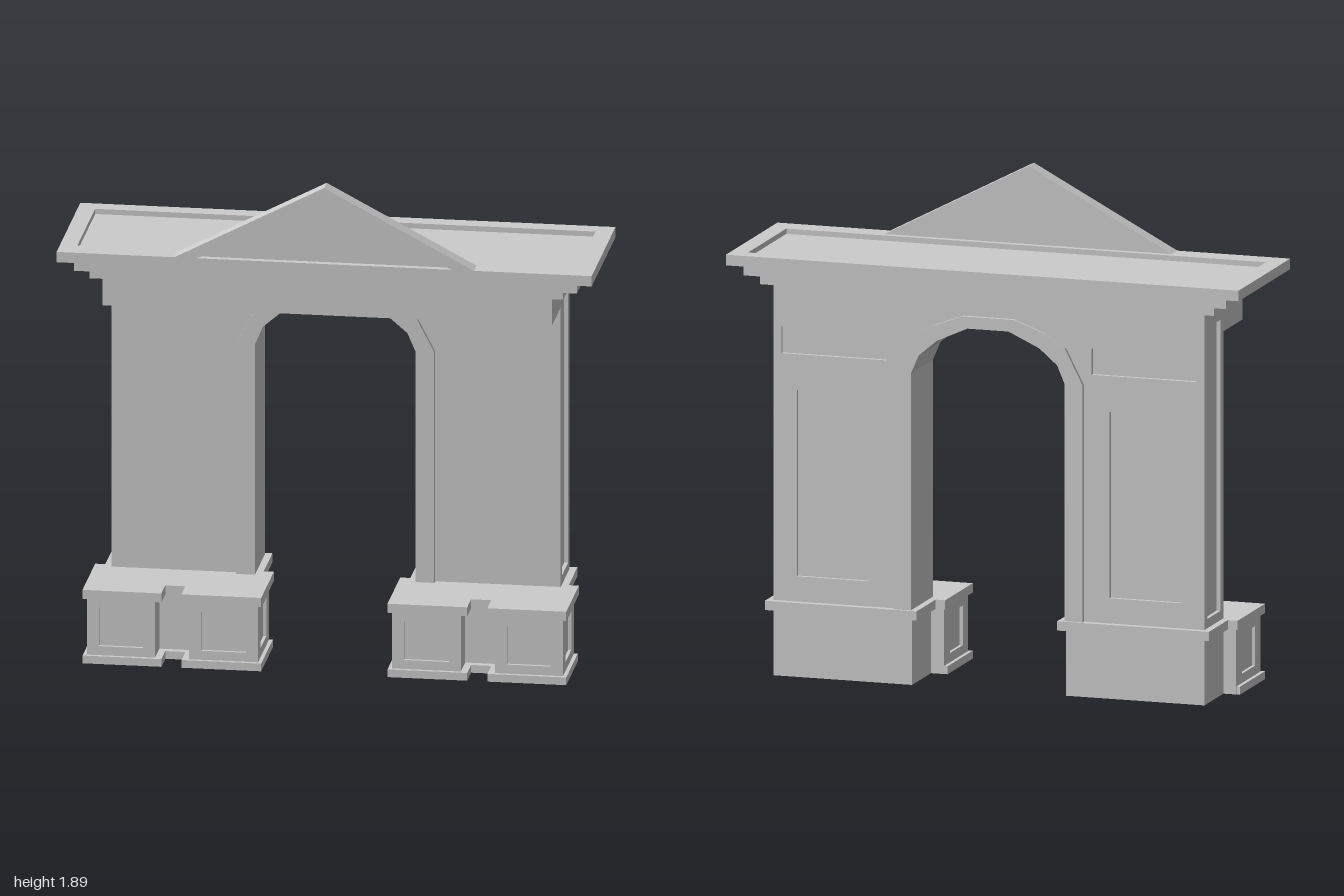
import * as THREE from 'three';

const material = new THREE.MeshStandardMaterial({ color: 0xcccccc, side: THREE.DoubleSide });
const toShape = (pts) => new THREE.Shape(pts.map(([x, y]) => new THREE.Vector2(x, y)));
const rect = (x0, y0, x1, y1) => [[x0, y0], [x1, y0], [x1, y1], [x0, y1]];
const mirrored = (half) => [...half, ...half.map(([x, y]) => [-x, y]).reverse()];

function extrude(pts, holes, depth) {
  const shape = toShape(pts);
  shape.holes = holes.map(toShape);
  return new THREE.ExtrudeGeometry(shape, { depth, bevelEnabled: false });
}

export function createModel() {
  const model = new THREE.Group();
  const add = (name, geometry) => {
    const mesh = new THREE.Mesh(geometry, material);
    mesh.name = name;
    model.add(mesh);
  };
  // Box from its min and max limits
  const box = (name, x0, x1, y0, y1, z0, z1) => add(name,
    new THREE.BoxGeometry(x1 - x0, y1 - y0, z1 - z0)
      .translate((x0 + x1) / 2, (y0 + y1) / 2, (z0 + z1) / 2));
  // Outline in x,y pushed along z
  const upright = (name, pts, holes, z0, z1) =>
    add(name, extrude(pts, holes, z1 - z0).translate(0, 0, z0));
  // Outline in x,z pushed along y
  const flat = (name, pts, holes, y0, y1) =>
    add(name, extrude(pts, holes, y1 - y0).rotateX(Math.PI / 2).translate(0, y1, 0));
  // Outline in z,y pushed along x
  const sideways = (name, pts, holes, x0, x1) =>
    add(name, extrude(pts.map(([z, y]) => [-z, y]), holes.map((h) => h.map(([z, y]) => [-z, y])), x1 - x0)
      .rotateY(Math.PI / 2).translate(x0, 0, 0));

  // Arch curves, right half from foot to crown
  const foot = 0.285;
  const inner = [[0.3, foot], [0.3, 1.18], [0.27, 1.25], [0.2, 1.31], [0.08, 1.365]];
  const outer = [[0.37, foot], [0.37, 1.18], [0.3, 1.315], [0.22, 1.365], [0.1, 1.41]];
  const opening = mirrored(outer);
  const wall = (w) => [[-w, foot], [-w, 1.48], [w, 1.48], [w, foot], ...opening];

  // Wall core, with a panelled skin on the back and the ends
  upright('wall', wall(0.825), [], -0.205, 0);
  const backPanels = [1, -1].flatMap((s) => [
    rect(s * 0.47, 0.38, s * 0.75, 1.085),
    rect(s * 0.4, 1.22, s * 0.81, 1.32),
  ]);
  upright('backPanelFrame', wall(0.84), backPanels, -0.22, -0.205);
  for (const x of [-0.84, 0.825]) {
    sideways('sidePanelFrame', rect(-0.205, foot, 0, 1.48), [rect(-0.185, 0.32, -0.035, 1.42)], x, x + 0.015);
  }
  upright('archMoulding', [...opening, ...mirrored(inner).reverse()], [], -0.235, 0.02);

  // Overhanging lintel and stepped cornice with a sunk top
  box('lintel', -0.84, 0.84, 1.37, 1.48, 0, 0.22);
  box('lowerCornice', -0.885, 0.885, 1.48, 1.515, -0.243, 0.243);
  box('middleCornice', -0.94, 0.94, 1.515, 1.575, -0.27, 0.27);
  flat('upperCornice', rect(-1, -0.3, 1, 0.3), [rect(-0.935, -0.235, 0.935, 0.21)], 1.555, 1.595);

  // Pediment: back slab and raking frame
  upright('pedimentSlab', [[-0.56, 1.595], [0.56, 1.595], [0, 1.89]], [], 0.235, 0.275);
  upright('pedimentFrame', [[-0.56, 1.595], [0, 1.89], [0.56, 1.595],
    [0.475, 1.595], [0, 1.845], [-0.475, 1.595]], [], 0.275, 0.3);

  // Plan of one base, inset by d: two front pedestals joined to a back block
  const front = (d) => [[0.262 + d, d], [0.262 + d, 0.268 - d], [0.508 - d, 0.268 - d], [0.508 - d, 0.17 - d],
    [0.635 + d, 0.17 - d], [0.635 + d, 0.268 - d], [0.878 - d, 0.268 - d], [0.878 - d, d]];
  const plan = (d) => [...front(d), [0.84 - d, d], [0.84 - d, -0.22 + d], [0.3 + d, -0.22 + d], [0.3 + d, d]];

  for (const s of [1, -1]) {
    const side = (pts) => pts.map(([x, z]) => [s * x, z]);
    flat('baseBody', side(plan(0)), [side(plan(0.01))], 0, 0.25);
    flat('baseCap', side(plan(-0.026)), [], 0.25, 0.285);
    const trim = front(-0.026).map(([x, z]) => [x, Math.max(z, 0)]);
    flat('baseTrim', side([...trim, ...front(0.004).reverse()]), [], 0, 0.03);

    // Panel frames on the pedestal fronts and outer sides
    for (const [a, b] of [[0.25, 0.508], [0.635, 0.89]]) {
      upright('pedestalFrontFrame', side(rect(a, 0, b, 0.25)),
        [side(rect(a + 0.045, 0.065, b - 0.045, 0.215))], 0.268, 0.28);
    }
    for (const x of [0.25, 0.878]) {
      sideways('pedestalSideFrame', rect(0, 0, 0.268, 0.25), [rect(0.07, 0.065, 0.22, 0.215)],
        s > 0 ? x : -x - 0.012, s > 0 ? x + 0.012 : -x);
    }
  }
  return model;
}
